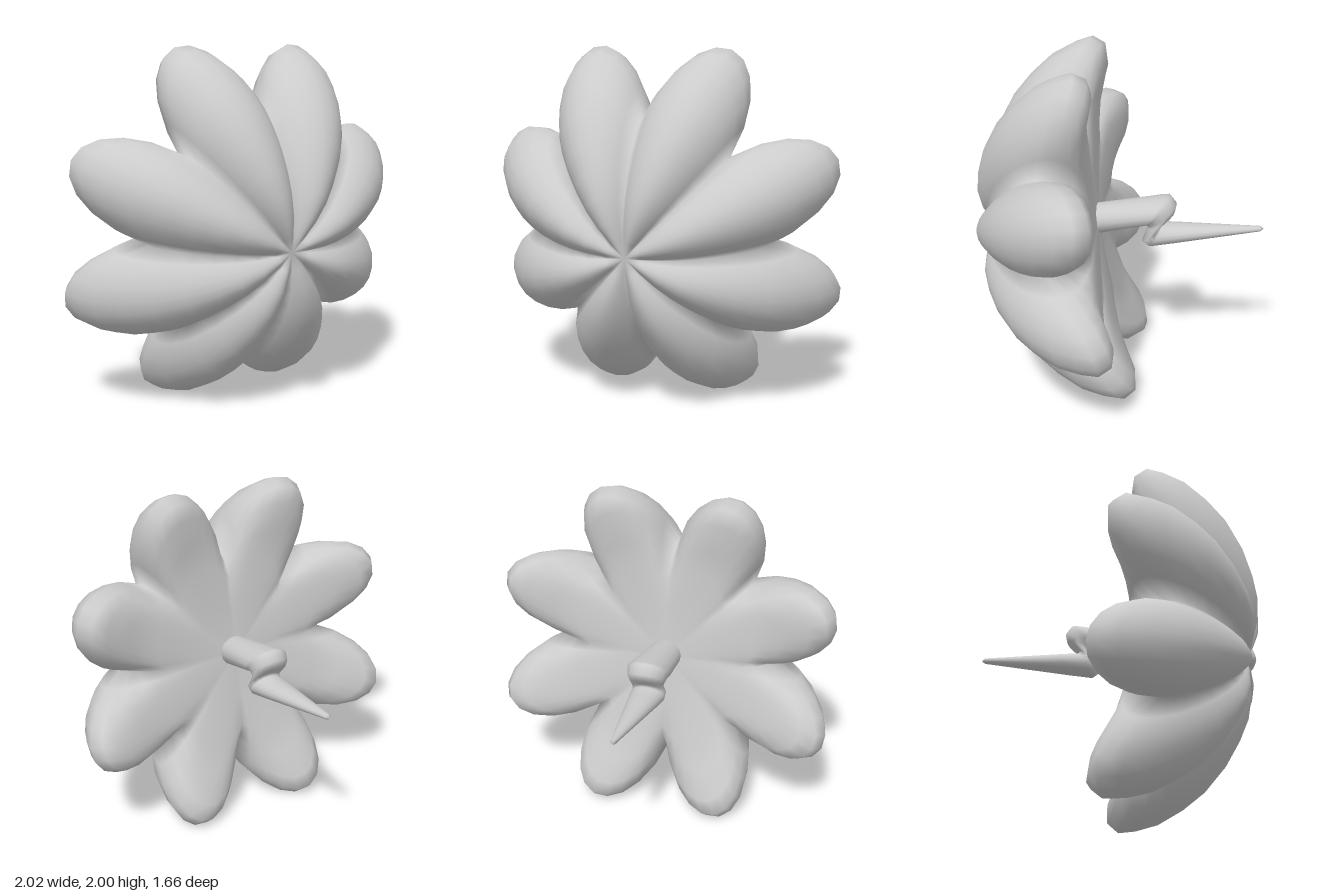
import * as THREE from 'three';
import { mergeVertices } from 'three/addons/utils/BufferGeometryUtils.js';

const material = new THREE.MeshStandardMaterial({ color: 0xcccccc, side: THREE.DoubleSide });

// Skin a list of closed rings; point(i, j) returns [x, y, z]
function loft(name, rings, sides, point) {
  const pos = [], index = [];
  for (let i = 0; i < rings; i++) {
    for (let j = 0; j < sides; j++) {
      pos.push(...point(i, j));
      if (i === rings - 1) continue;
      const k = (j + 1) % sides;
      const a = i * sides + j, b = i * sides + k;
      index.push(a, b, b + sides, a, b + sides, a + sides);
    }
  }
  let geo = new THREE.BufferGeometry();
  geo.setAttribute('position', new THREE.Float32BufferAttribute(pos, 3));
  geo.setIndex(index);
  geo = mergeVertices(geo, 1e-4);
  geo.computeVertexNormals();
  const mesh = new THREE.Mesh(geo, material);
  mesh.name = name;
  return mesh;
}

// Eight-petalled cup: each row is [petal radius, petal height, valley radius, valley height]
function createBlossom() {
  const profile = [
    [0, 0.7, 0, 0.7],
    [0.1, 0.73, 0.1, 0.7],
    [0.22, 0.748, 0.21, 0.685],
    [0.35, 0.74, 0.32, 0.65],
    [0.48, 0.7, 0.42, 0.6],
    [0.635, 0.63, 0.51, 0.54],
    [0.795, 0.52, 0.58, 0.48],
    [0.91, 0.4, 0.63, 0.43],
    [1.01, 0.26, 0.66, 0.38],
    [1.06, 0.13, 0.67, 0.34],
    [1.08, 0.03, 0.67, 0.3],
    [1.03, -0.04, 0.65, 0.25],
    [0.93, -0.045, 0.61, 0.19],
    [0.75, 0.02, 0.54, 0.12],
    [0.58, 0.05, 0.46, 0.08],
    [0.3, 0.08, 0.28, 0.085],
    [0, 0.09, 0, 0.09],
  ];
  const petals = 8, perPetal = 10, sides = petals * perPetal;
  const blossom = loft('petals', profile.length, sides, (i, j) => {
    const [pr, ph, vr, vh] = profile[i];
    const f = Math.pow(Math.sin((Math.PI * (j % perPetal)) / perPetal), 0.9);
    const r = THREE.MathUtils.lerp(vr, pr, f);
    const h = THREE.MathUtils.lerp(vh, ph, f);
    const a = (j / sides) * Math.PI * 2;
    return [r * Math.sin(a), r * Math.cos(a), h];
  });
  blossom.position.set(0, 0.99, 0.06);
  blossom.rotation.x = 0.14; // the cup faces slightly downward
  return blossom;
}

// Zigzag stem: each row is [outer z, outer y, inner z, inner y, half width in x]
function createStem() {
  const rows = [
    [0.2, 1.07, 0.2, 0.89, 0.095],
    [0.14, 1.08, 0.12, 0.905, 0.1],
    [-0.24, 1.147, -0.1, 0.962, 0.125],
    [-0.27, 1.15, -0.13, 0.968, 0.12],
    [-0.31, 1.1, -0.14, 0.962, 0.11],
    [-0.3, 1.05, -0.138, 0.945, 0.1],
    [-0.22, 0.985, -0.11, 0.86, 0.1],
    [-0.23, 0.972, -0.15, 0.83, 0.1],
    [-0.31, 0.974, -0.29, 0.855, 0.088],
    [-0.8, 0.983, -0.8, 0.95, 0.016],
    [-0.82, 0.967, -0.82, 0.967, 0],
  ];
  const sides = 16;
  return loft('stem', rows.length, sides, (i, j) => {
    const [oz, oy, iz, iy, w] = rows[i];
    const a = (j / sides) * Math.PI * 2, c = Math.cos(a) / 2;
    return [w * Math.sin(a), (oy + iy) / 2 + (oy - iy) * c, (oz + iz) / 2 + (oz - iz) * c];
  });
}

export function createModel() {
  const model = new THREE.Group();
  model.name = 'flower';
  model.add(createBlossom(), createStem());
  return model;
}
